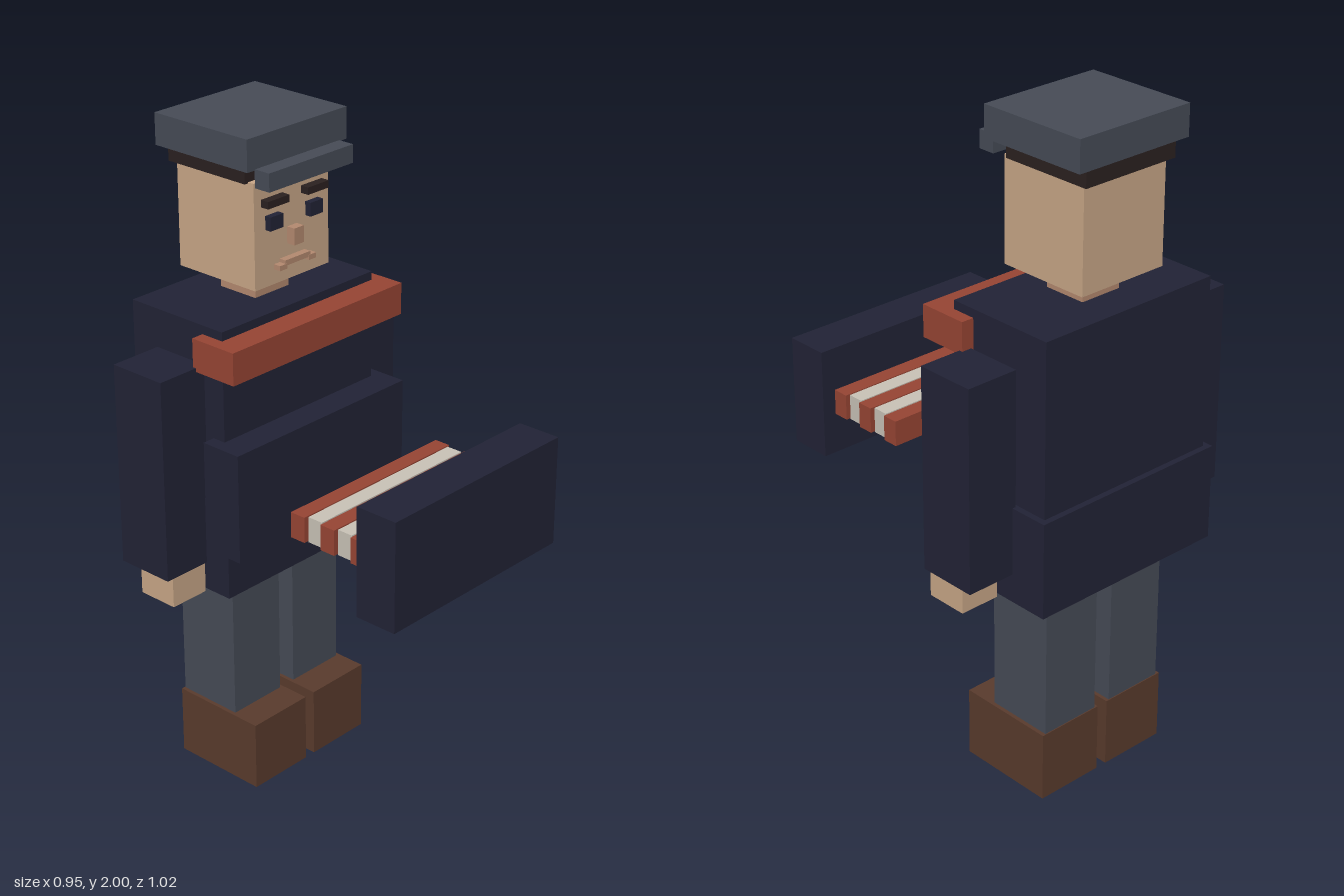
import * as THREE from 'three';

const material = (name, color) => {
  const m = new THREE.MeshStandardMaterial({ color });
  m.name = name;
  return m;
};

export function createModel() {
  const navy = material('navy cloth', 0x222336);
  const grey = material('slate cloth', 0x474c57);
  const skin = material('skin', 0xcaa888);
  const darkSkin = material('shaded skin', 0xb58a70);
  const red = material('brick red', 0x984534);
  const cream = material('cream', 0xcac4b8);
  const brown = material('brown leather', 0x5a3b2d);
  const hairColor = material('dark hair', 0x2b2120);

  const model = new THREE.Group();
  model.name = 'uniformedFigure';

  // Box from its min/max extents on each axis
  const block = (name, mat, [x0, x1], [y0, y1], [z0, z1]) => {
    const mesh = new THREE.Mesh(new THREE.BoxGeometry(x1 - x0, y1 - y0, z1 - z0), mat);
    mesh.position.set((x0 + x1) / 2, (y0 + y1) / 2, (z0 + z1) / 2);
    mesh.name = name;
    model.add(mesh);
  };
  // Box centred on x = 0
  const centred = (name, mat, half, y, z) => block(name, mat, [-half, half], y, z);
  // Mirrored pair of boxes
  const pair = (name, mat, [x0, x1], y, z) => {
    block('left' + name, mat, [x0, x1], y, z);
    block('right' + name, mat, [-x1, -x0], y, z);
  };

  // Cap, hair, head and neck
  centred('capCrown', grey, 0.195, [1.908, 2.0], [-0.494, -0.145]);
  centred('capPeak', grey, 0.165, [1.858, 1.911], [-0.147, -0.094]);
  centred('hair', hairColor, 0.16, [1.857, 1.908], [-0.482, -0.19]);
  centred('head', skin, 0.147, [1.552, 1.86], [-0.462, -0.17]);
  centred('neck', darkSkin, 0.067, [1.486, 1.553], [-0.383, -0.249]);

  // Face
  pair('Eyebrow', hairColor, [0.037, 0.12], [1.787, 1.808], [-0.172, -0.143]);
  pair('Eye', navy, [0.054, 0.104], [1.718, 1.758], [-0.172, -0.15]);
  centred('nose', darkSkin, 0.019, [1.656, 1.705], [-0.172, -0.143]);
  centred('mouth', darkSkin, 0.05, [1.604, 1.62], [-0.172, -0.148]);
  pair('MouthCorner', darkSkin, [0.043, 0.072], [1.595, 1.61], [-0.172, -0.147]);

  // Coat
  centred('torso', navy, 0.303, [0.75, 1.487], [-0.494, -0.145]);
  centred('coatSkirt', navy, 0.322, [0.682, 0.972], [-0.512, -0.122]);
  centred('chestBand', red, 0.342, [1.365, 1.461], [-0.22, -0.066]);
  centred('coatFront', navy, 0.342, [0.828, 1.159], [-0.187, -0.056]);

  // Arms, hands, legs and boots
  pair('Arm', navy, [0.311, 0.475], [0.768, 1.376], [-0.392, -0.209]);
  pair('Hand', skin, [0.329, 0.455], [0.677, 0.77], [-0.339, -0.21]);
  pair('Leg', grey, [0.029, 0.222], [0.1, 0.69], [-0.422, -0.21]);
  pair('Boot', brown, [0.018, 0.234], [0.0, 0.216], [-0.425, -0.115]);

  // Striped bars and the panel floating ahead of the figure
  centred('frontPanel', navy, 0.342, [0.828, 1.159], [0.378, 0.512]);
  for (let i = 0; i < 5; i++) {
    const z = 0.13 + i * 0.0542;
    const isRed = i % 2 === 0;
    centred('stripe' + (i + 1), isRed ? red : cream, isRed ? 0.304 : 0.293,
      [0.955, 1.032], [z - 0.0248, z + 0.0248]);
  }
  return model;
}
